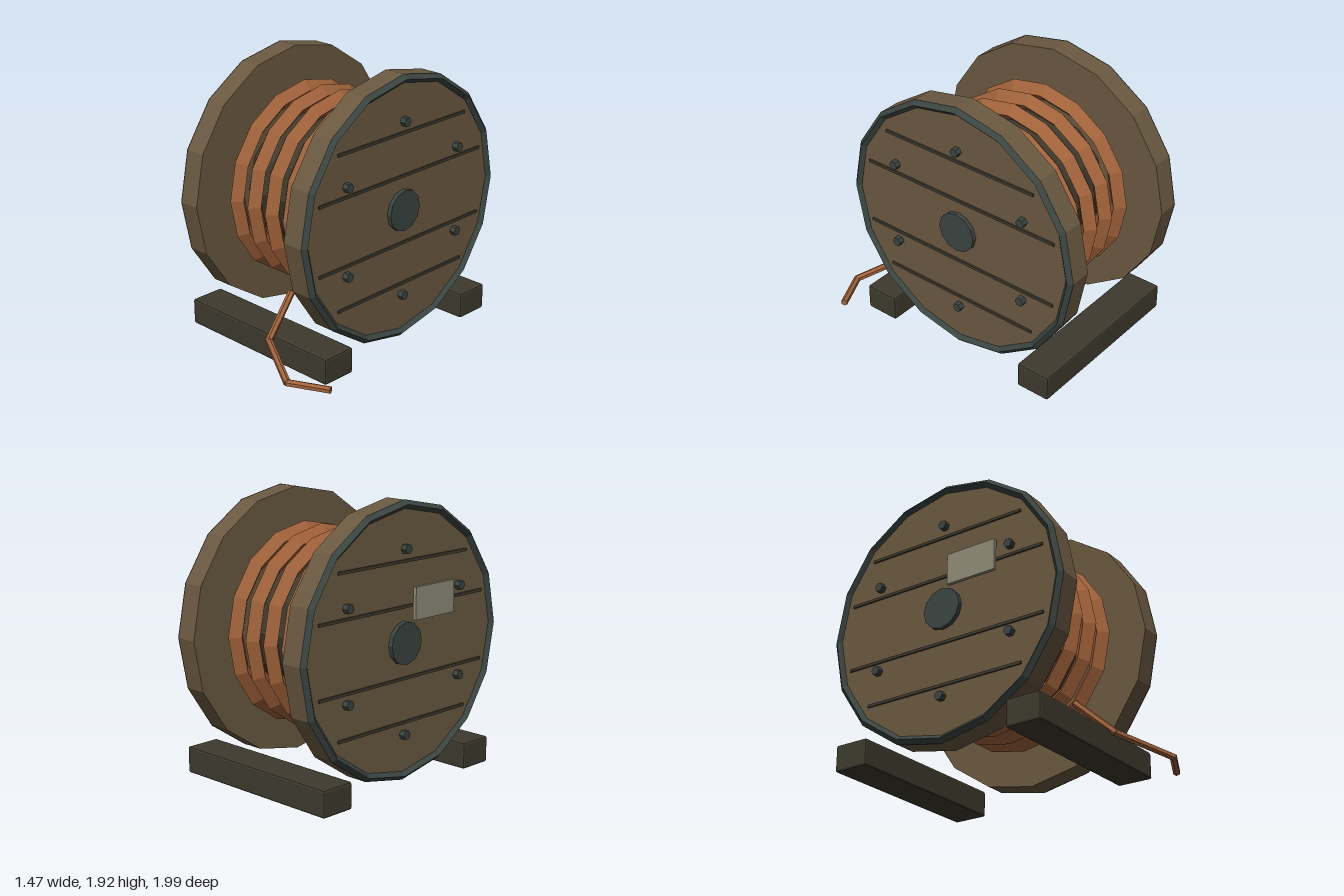
import * as THREE from 'three';
import { RoundedBoxGeometry } from 'three/addons/geometries/RoundedBoxGeometry.js';

const CX = -0.075, CY = 0.983, CZ = -0.06; // middle of the reel axle

const material = (name, color) => {
  const m = new THREE.MeshStandardMaterial({ color });
  m.name = name;
  return m;
};

export function createModel() {
  const wood = material('wood', 0x6b5941);
  const darkWood = material('dark wood', 0x3e3a2e);
  const metal = material('dark metal', 0x3a4541);
  const copper = material('copper', 0xa0623a);
  const paper = material('label', 0x8f8c78);

  const model = new THREE.Group();
  model.name = 'cableReel';

  // Faceted mesh: every face keeps its own normal
  const add = (parent, name, geometry, mat, x, y, z) => {
    const g = geometry.index ? geometry.toNonIndexed() : geometry;
    g.computeVertexNormals();
    const mesh = new THREE.Mesh(g, mat);
    mesh.name = name;
    mesh.position.set(x, y, z);
    parent.add(mesh);
    return mesh;
  };
  // Disc and ring whose axis runs along x
  const disc = (r, length, sides) =>
    new THREE.CylinderGeometry(r, r, length, sides).rotateZ(Math.PI / 2);
  const ring = (r, tube, sides) =>
    new THREE.TorusGeometry(r, tube, 4, sides).rotateY(Math.PI / 2);

  const reel = new THREE.Group();
  reel.name = 'reel';
  reel.position.set(CX, CY, CZ);
  model.add(reel);

  add(reel, 'drum', disc(0.46, 0.86, 12), darkWood, 0, 0, 0);

  // Wound cable
  for (let i = -2; i <= 2; i++) {
    add(reel, 'cableCoil', ring(0.641, 0.064, 16), copper, i * 0.17, 0, 0);
  }

  // Flanges with rim, hub, bolts and plank strips on the outside
  for (const [side, s] of [['left', 1], ['right', -1]]) {
    const flange = new THREE.Group();
    flange.name = side + 'Flange';
    reel.add(flange);
    add(flange, 'flangeDisc', disc(0.935, 0.158, 16), wood, s * 0.499, 0, 0);
    add(flange, 'rim', ring(0.907, 0.03, 16), metal, s * 0.576, 0, 0);
    add(flange, 'hub', disc(0.145, 0.06, 12), metal, s * 0.579, 0, 0);
    for (let i = 0; i < 6; i++) {
      const a = (i * Math.PI) / 3;
      add(flange, 'bolt', disc(0.033, 0.06, 6), metal,
        s * 0.589, 0.62 * Math.cos(a), 0.62 * Math.sin(a));
    }
    for (const [y, length] of [[0.54, 1.23], [0.24, 1.57], [-0.24, 1.57], [-0.54, 1.23]]) {
      add(flange, 'plankStrip', new THREE.BoxGeometry(0.02, 0.02, length), darkWood,
        s * 0.58, y, 0);
    }
  }

  // Label plate on the right flange
  add(model, 'labelPlate', new THREE.BoxGeometry(0.025, 0.22, 0.38), paper, -0.693, 1.24, 0.19);

  // Chamfered support beams
  for (const [name, z] of [['frontBeam', 0.617], ['backBeam', -0.745]]) {
    add(model, name, new RoundedBoxGeometry(1.31, 0.187, 0.255, 1, 0.015), darkWood,
      CX, 0.096, z);
  }

  // Loose cable end, bent in three straight pieces
  const tail = new THREE.Group();
  tail.name = 'looseCable';
  model.add(tail);
  const points = [
    [0.025, 0.41, 0.51], [0.08, 0.165, 0.775], [0.46, 0.073, 0.975], [0.725, 0.073, 0.85],
  ].map((p) => new THREE.Vector3(...p));
  for (let i = 0; i < 3; i++) {
    const a = points[i], b = points[i + 1];
    const mid = a.clone().lerp(b, 0.5);
    const dir = b.clone().sub(a);
    const piece = add(tail, 'cablePiece',
      new THREE.CylinderGeometry(0.025, 0.025, dir.length() + 0.01, 6), copper,
      mid.x, mid.y, mid.z);
    piece.quaternion.setFromUnitVectors(new THREE.Vector3(0, 1, 0), dir.normalize());
  }

  return model;
}
